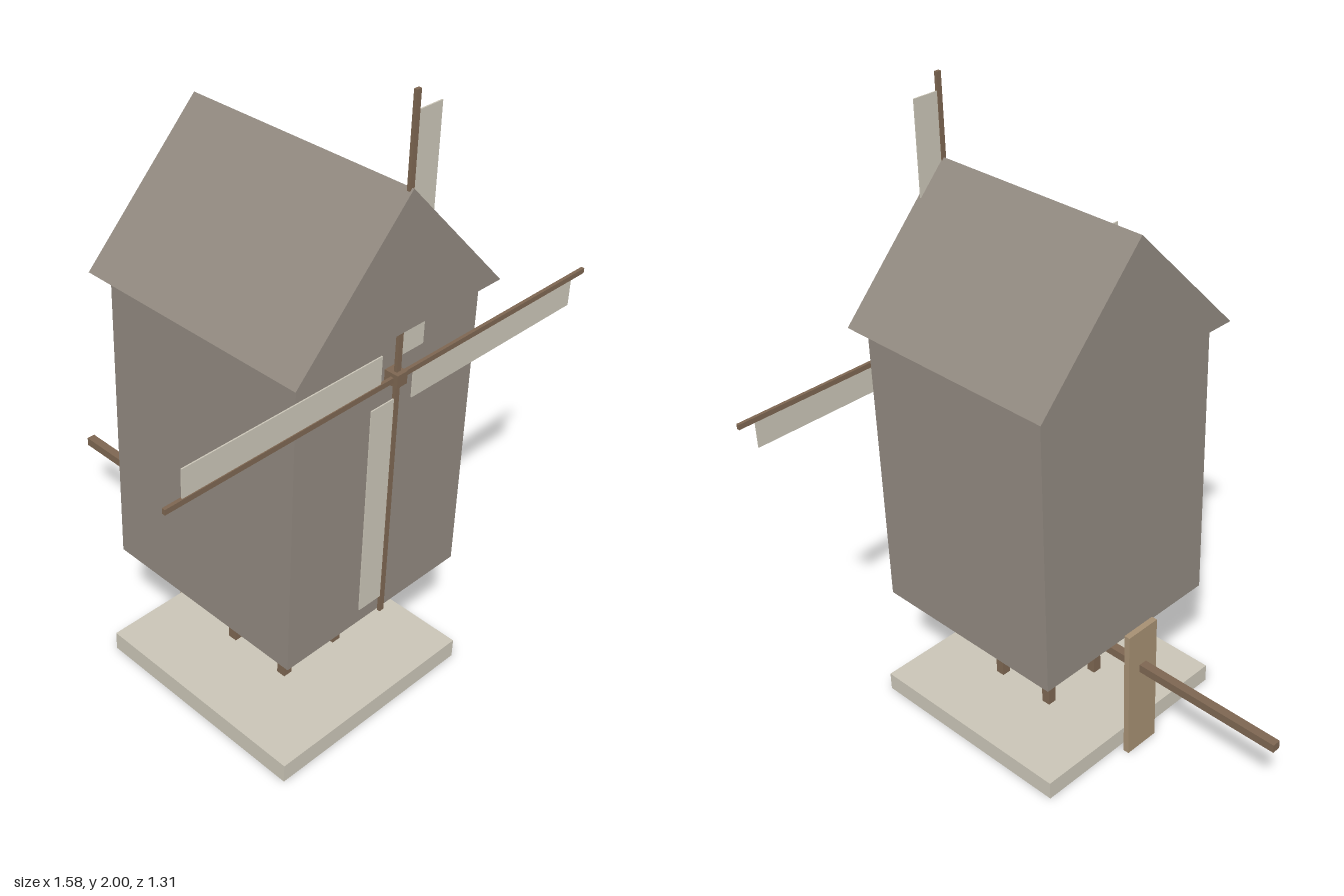
import * as THREE from 'three';

const mat = (name, color) => {
  const m = new THREE.MeshStandardMaterial({ color });
  m.name = name;
  return m;
};

export function createModel() {
  const model = new THREE.Group();
  model.name = 'postMill';

  const boards = mat('weatheredBoards', 0x90887f);
  const pale = mat('paleStoneAndCanvas', 0xc9c4b6);
  const timber = mat('darkTimber', 0x7d6651);
  const plankWood = mat('lightTimber', 0xa58f72);

  // Box given by its minimum and maximum corners
  const box = (parent, name, material, [x0, y0, z0], [x1, y1, z1]) => {
    const mesh = new THREE.Mesh(new THREE.BoxGeometry(x1 - x0, y1 - y0, z1 - z0), material);
    mesh.position.set((x0 + x1) / 2, (y0 + y1) / 2, (z0 + z1) / 2);
    mesh.name = name;
    parent.add(mesh);
    return mesh;
  };

  const cz = 0.268; // middle of the mill body along z

  // Plinth, central post and four corner struts
  box(model, 'plinth', pale, [-0.367, 0, cz - 0.367], [0.367, 0.062, cz + 0.367]);
  box(model, 'mainPost', timber, [-0.03, 0.03, cz - 0.03], [0.03, 0.42, cz + 0.03]);
  for (const sx of [-1, 1]) {
    for (const sz of [-1, 1]) {
      const x = sx * 0.105, z = cz + sz * 0.105;
      box(model, 'strut', timber, [x - 0.015, 0.05, z - 0.015], [x + 0.015, 0.337, z + 0.015]);
    }
  }

  // Mill body
  box(model, 'body', boards, [-0.342, 0.4, cz - 0.344], [0.342, 1.35, cz + 0.344]);

  // Gabled roof
  const gable = new THREE.Shape();
  gable.moveTo(-0.382, 1.35);
  gable.lineTo(0.382, 1.35);
  gable.lineTo(0, 1.75);
  gable.closePath();
  const roof = new THREE.Mesh(
    new THREE.ExtrudeGeometry(gable, { depth: 0.767, bevelEnabled: false }), boards);
  roof.position.z = -0.118;
  roof.name = 'roof';
  model.add(roof);

  // Tail pole and step plank behind the mill
  box(model, 'tailPole', timber, [-0.014, 0.305, -0.655], [0.014, 0.333, 0.033]);
  box(model, 'stepPlank', plankWood, [-0.062, 0, -0.142], [0.062, 0.465, -0.122]);

  // Sail cross: hub with four spars, each carrying a canvas panel on one side
  const sails = new THREE.Group();
  sails.name = 'sails';
  sails.position.set(0, 1.212, 0.638);
  model.add(sails);
  box(sails, 'hub', timber, [-0.019, -0.019, -0.03], [0.019, 0.019, 0.018]);
  for (let i = 0; i < 4; i++) {
    const blade = new THREE.Group();
    blade.name = 'blade';
    blade.rotation.z = i * Math.PI / 2;
    box(blade, 'spar', timber, [-0.008, 0, -0.005], [0.008, 0.788, 0.005]);
    box(blade, 'canvas', pale, [0.008, 0.063, -0.002], [0.092, 0.733, 0.002]);
    sails.add(blade);
  }

  return model;
}
